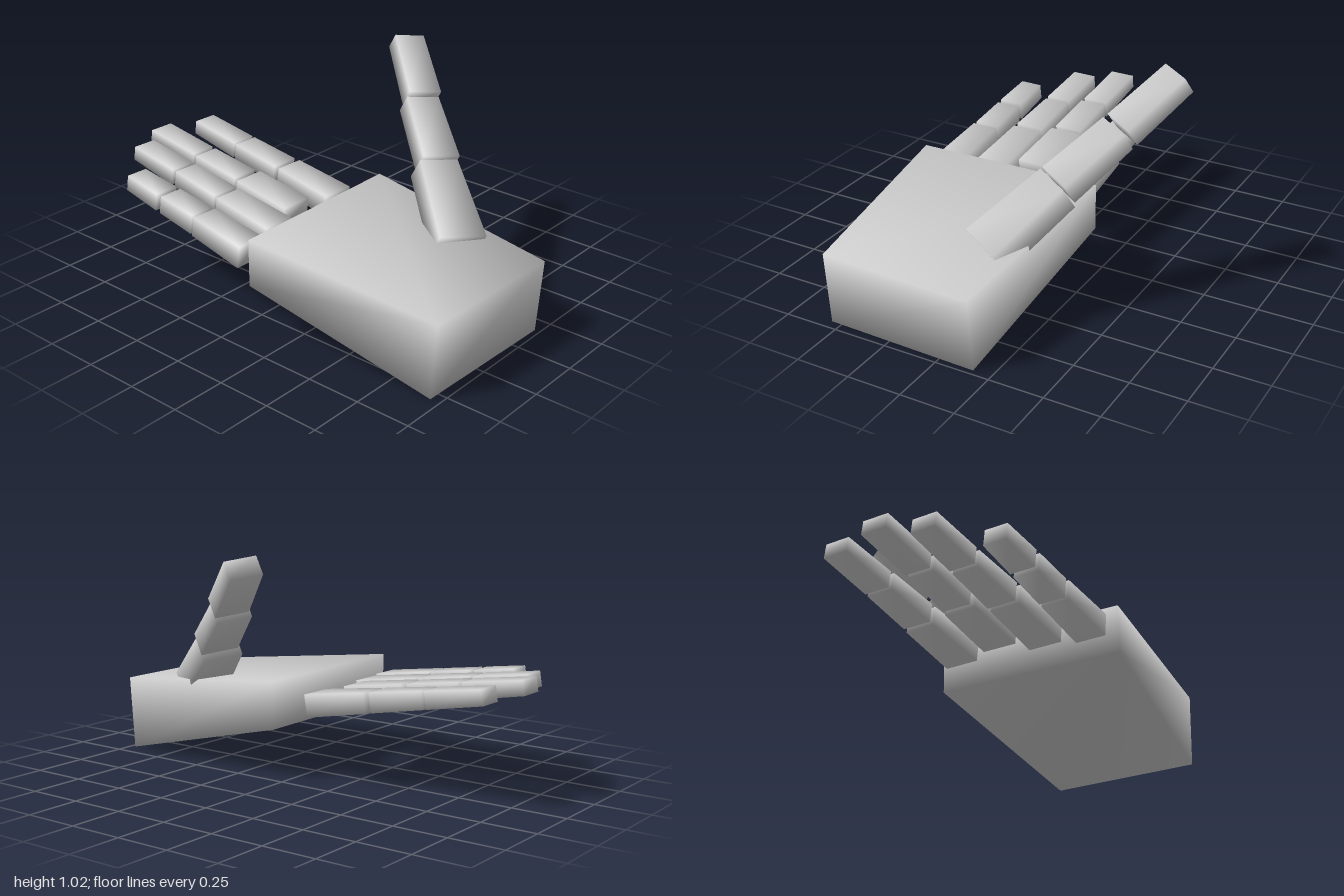
import * as THREE from 'three';
import { mergeVertices } from 'three/addons/utils/BufferGeometryUtils.js';

const material = new THREE.MeshStandardMaterial({ color: 0xcccccc });

// Smooth-shaded block of eight shared corners, each placed by a rule of its signs
function block(name, place) {
  const box = new THREE.BoxGeometry(2, 2, 2);
  box.deleteAttribute('normal');
  box.deleteAttribute('uv');
  const geometry = mergeVertices(box);
  const position = geometry.attributes.position;
  const corner = new THREE.Vector3();
  for (let i = 0; i < position.count; i++) {
    corner.fromBufferAttribute(position, i);
    const p = place(corner.x, corner.y, corner.z);
    position.setXYZ(i, p.x, p.y, p.z);
  }
  geometry.computeVertexNormals();
  const mesh = new THREE.Mesh(geometry, material);
  mesh.name = name;
  return mesh;
}

// Tapered bone from one end to the other; sizes are [width, thickness]
function bone(name, start, end, startSize, endSize, side) {
  const back = start.clone().sub(end).normalize();
  const up = back.clone().cross(side).normalize();
  const across = up.clone().cross(back);
  return block(name, (sx, sy, sz) => {
    const [width, thickness] = sz > 0 ? startSize : endSize;
    return (sz > 0 ? start : end).clone()
      .addScaledVector(across, sx * width / 2)
      .addScaledVector(up, sy * thickness / 2);
  });
}

const boneNames = ['Base', 'Middle', 'Tip'];

// Per bone: start z, end z, start x range, end x range
const fingers = {
  littleFinger: [
    [-0.01, -0.30, -0.62, -0.48, -0.605, -0.48],
    [-0.315, -0.515, -0.60, -0.48, -0.595, -0.48],
    [-0.54, -0.74, -0.595, -0.48, -0.585, -0.48]],
  ringFinger: [
    [-0.04, -0.355, -0.425, -0.27, -0.41, -0.27],
    [-0.375, -0.635, -0.405, -0.27, -0.39, -0.27],
    [-0.655, -0.92, -0.39, -0.27, -0.38, -0.265]],
  middleFinger: [
    [-0.105, -0.405, -0.24, -0.08, -0.23, -0.08],
    [-0.43, -0.685, -0.22, -0.09, -0.215, -0.09],
    [-0.705, -0.995, -0.21, -0.09, -0.205, -0.085]],
  indexFinger: [
    [-0.055, -0.365, -0.015, 0.145, 0.005, 0.145],
    [-0.39, -0.65, 0.005, 0.14, 0.015, 0.14],
    [-0.665, -0.935, 0.02, 0.14, 0.03, 0.145]],
};

// Per bone: start point, end point, start size, end size
const thumb = [
  [[0.035, 0.35, 0.65], [0.222, 0.566, 0.375], [0.22, 0.125], [0.18, 0.125]],
  [[0.233, 0.588, 0.385], [0.39, 0.766, 0.158], [0.174, 0.108], [0.156, 0.1]],
  [[0.41, 0.787, 0.157], [0.565, 0.972, -0.057], [0.154, 0.098], [0.142, 0.09]],
];

export function createModel() {
  const model = new THREE.Group();
  model.name = 'hand';

  // Palm: deep narrow wrist end, thinner and wider at the knuckles
  model.add(block('palm', (sx, sy, sz) => {
    if (sz > 0) {
      return new THREE.Vector3(sx > 0 ? 0.165 : -0.55, sy > 0 ? 0.34 : 0,
        (sy > 0 ? 0.99 : 0.965) + 0.01 * sx);
    }
    return new THREE.Vector3(sx > 0 ? 0.24 : -0.64, sy > 0 ? 0.44 : 0.225, 0.062 - 0.007 * sx);
  }));

  // Four fingers rising and thinning together away from the palm
  const straight = new THREE.Vector3(1, 0, 0);
  for (const [name, bones] of Object.entries(fingers)) {
    const finger = new THREE.Group();
    finger.name = name;
    bones.forEach(([z0, z1, l0, r0, l1, r1], i) => {
      const centre = (l, r, z) => new THREE.Vector3((l + r) / 2, 0.32 - 0.165 * z, z);
      const thickness = (z) => 0.105 + 0.04 * z;
      finger.add(bone(name + boneNames[i], centre(l0, r0, z0), centre(l1, r1, z1),
        [r0 - l0, thickness(z0)], [r1 - l1, thickness(z1)], straight));
    });
    model.add(finger);
  }

  // Thumb reaching up and out to the side
  const thumbGroup = new THREE.Group();
  thumbGroup.name = 'thumb';
  const thumbSide = new THREE.Vector3(0.86, -0.14, 0.5);
  thumb.forEach(([start, end, startSize, endSize], i) => {
    thumbGroup.add(bone('thumb' + boneNames[i], new THREE.Vector3(...start),
      new THREE.Vector3(...end), startSize, endSize, thumbSide));
  });
  model.add(thumbGroup);

  return model;
}
